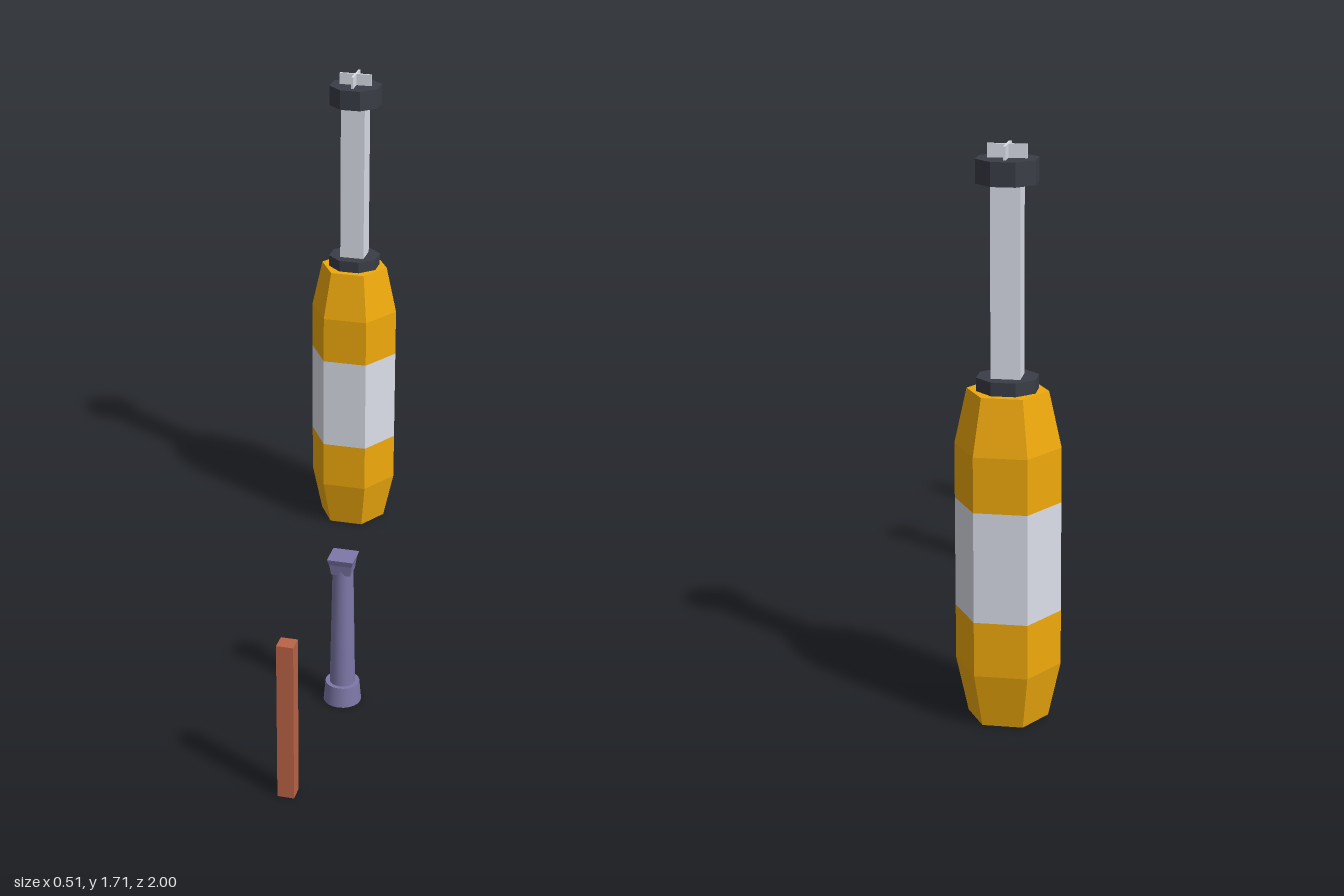
import * as THREE from 'three';

const mat = (color, flatShading = true) => new THREE.MeshStandardMaterial({ color, flatShading });
const gold = mat(0xf0a90c);
const silver = mat(0xdcdfea);
const dark = mat(0x3a3d46);
const violet = mat(0x7d78a8);
const violetSmooth = mat(0x7d78a8, false);
const clay = mat(0xbc6347);

function add(parent, name, geometry, material, y = 0) {
  const mesh = new THREE.Mesh(geometry, material);
  mesh.name = name;
  mesh.position.y = y;
  parent.add(mesh);
  return mesh;
}

// six-sided shell with corners on the x axis; profile is [radius, y], bottom to top
function hexShell(profile) {
  const points = profile.map(([r, y]) => new THREE.Vector2(r, y));
  return new THREE.LatheGeometry(points, 6).rotateY(Math.PI / 2);
}

// eight-sided ring with flats facing front and sides
function collar(height) {
  return new THREE.CylinderGeometry(0.093, 0.093, height, 8).rotateY(Math.PI / 8).scale(1, 1, 0.94);
}

// square block whose half width changes from bottom to top
function squareFrustum(bottom, top, height) {
  return new THREE.CylinderGeometry(top * Math.SQRT2, bottom * Math.SQRT2, height, 4).rotateY(Math.PI / 4);
}

function createTower() {
  const tower = new THREE.Group();
  tower.name = 'tower';
  tower.position.set(-0.1, 0, -0.865);

  // banded body
  add(tower, 'lowerBody', hexShell([[0, 0], [0.12, 0], [0.157, 0.167], [0.157, 0.333]]), gold);
  add(tower, 'middleBand', hexShell([[0.157, 0.333], [0.157, 0.667]]), silver);
  add(tower, 'upperBody', hexShell([[0.157, 0.667], [0.157, 0.833], [0.12, 1], [0, 1]]), gold);

  // mast with its two collars
  add(tower, 'lowerCollar', collar(0.04), dark, 1.02);
  add(tower, 'mast', new THREE.BoxGeometry(0.086, 0.6, 0.08), silver, 1.31);
  add(tower, 'upperCollar', collar(0.07), dark, 1.635);

  // crossed fins on top
  add(tower, 'finAcross', new THREE.BoxGeometry(0.114, 0.042, 0.008), silver, 1.689);
  add(tower, 'finDeep', new THREE.BoxGeometry(0.008, 0.042, 0.106), silver, 1.689);
  return tower;
}

function createColumn() {
  const column = new THREE.Group();
  column.name = 'column';
  column.position.set(0.19, 0, 0.42);
  add(column, 'columnBase', new THREE.CylinderGeometry(0.055, 0.061, 0.068, 20), violetSmooth, 0.034);
  add(column, 'columnShaft', new THREE.CylinderGeometry(0.033, 0.041, 0.42, 20), violetSmooth, 0.275);
  add(column, 'capital', squareFrustum(0.031, 0.036, 0.035), violet, 0.4875);
  add(column, 'capitalTop', squareFrustum(0.036, 0.042, 0.02), violet, 0.515);
  return column;
}

export function createModel() {
  const model = new THREE.Group();
  model.name = 'towerColumnAndPost';
  model.add(createTower(), createColumn());

  // plain square post
  const post = add(model, 'post', new THREE.BoxGeometry(0.052, 0.525, 0.052), clay, 0.2625);
  post.position.x = 0.163;
  post.position.z = 0.974;
  return model;
}
